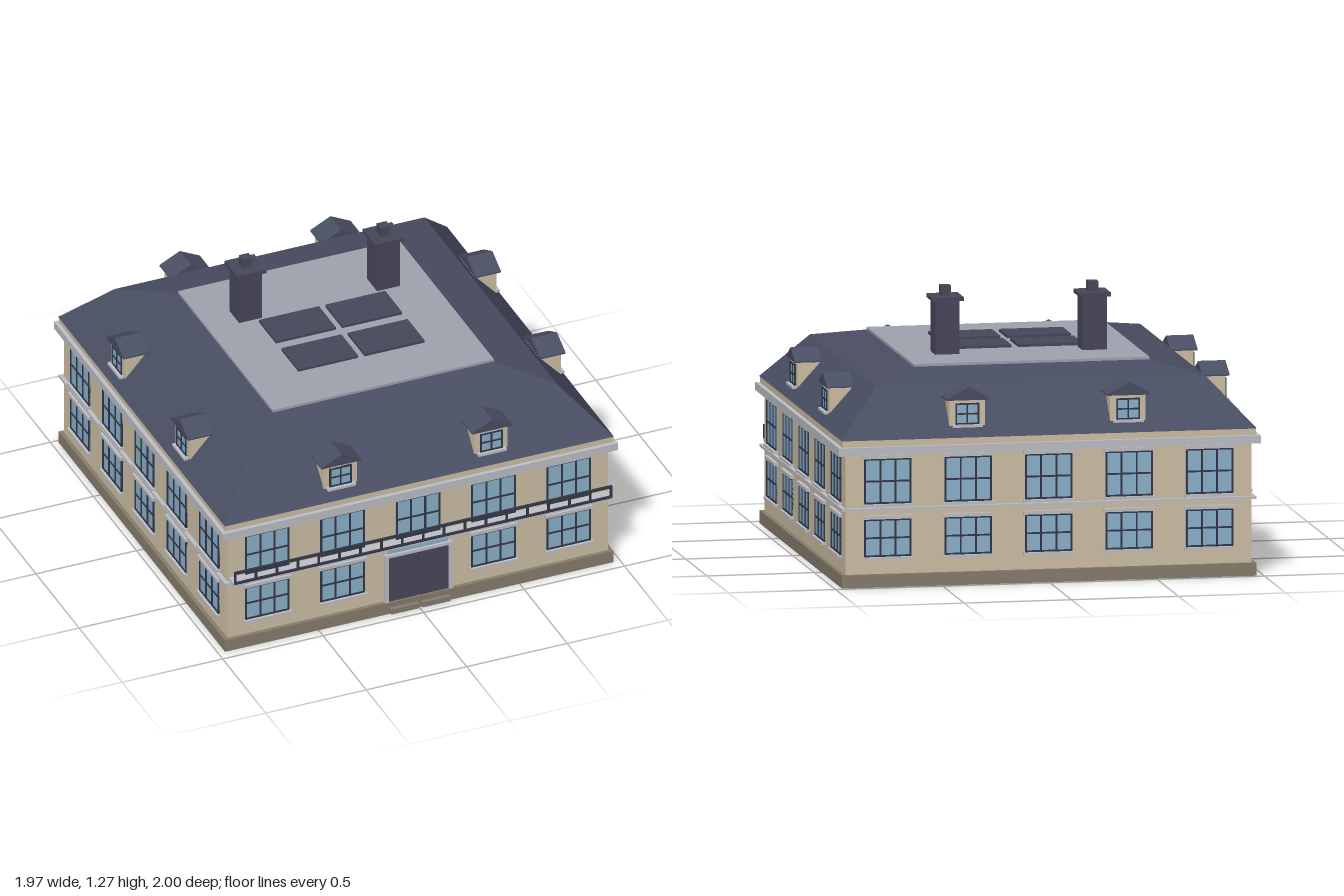
import * as THREE from 'three';

const paint = (name, color) => {
  const m = new THREE.MeshStandardMaterial({ color });
  m.name = name;
  return m;
};

const CZ = -0.017; // the house sits slightly back to leave room for the balcony
const WALL = 0.947; // half width of the walls

export function createModel() {
  const stone = paint('cream stone', 0xcfc1a6);
  const plinthStone = paint('plinth stone', 0x877e6d);
  const trim = paint('pale trim', 0xbfc1c8);
  const slate = paint('roof slate', 0x4a4e63);
  const lead = paint('flat roof lead', 0xa0a3af);
  const glass = paint('window glass', 0x8db3cd);
  const iron = paint('dark frame', 0x343848);
  const masonry = paint('chimney and door', 0x48485c);

  const model = new THREE.Group();
  model.name = 'mansion';
  const house = new THREE.Group();
  house.name = 'house';
  house.position.z = CZ;
  model.add(house);

  const add = (parent, name, geo, mat) => {
    const mesh = new THREE.Mesh(geo, mat);
    mesh.name = name;
    parent.add(mesh);
    return mesh;
  };
  // box given by its limits on each axis
  const box = (parent, name, mat, x0, x1, y0, y1, z0, z1) => {
    const mesh = add(parent, name, new THREE.BoxGeometry(x1 - x0, y1 - y0, z1 - z0), mat);
    mesh.position.set((x0 + x1) / 2, (y0 + y1) / 2, (z0 + z1) / 2);
    return mesh;
  };
  // square block on the axis of the house
  const block = (name, mat, half, y0, y1) => box(house, name, mat, -half, half, y0, y1, -half, half);
  // square frustum with flat faces
  const frustum = (name, mat, low, high, y0, y1) => {
    let geo = new THREE.CylinderGeometry(high * Math.SQRT2, low * Math.SQRT2, y1 - y0, 4, 1, false, Math.PI / 4);
    geo = geo.toNonIndexed();
    geo.computeVertexNormals();
    add(house, name, geo, mat).position.y = (y0 + y1) / 2;
  };

  // main body
  block('plinth', plinthStone, 0.966, 0, 0.06);
  block('walls', stone, WALL, 0.06, 0.615);
  block('stringCourse', trim, 0.966, 0.355, 0.368);
  block('cornice', trim, 0.983, 0.615, 0.652);
  block('eavesBand', stone, 0.964, 0.652, 0.682);
  frustum('lowerRoof', slate, 0.968, 0.77, 0.682, 0.9);
  frustum('upperRoof', slate, 0.77, 0.55, 0.9, 0.95);
  block('flatRoof', lead, 0.55, 0.945, 0.962);

  // glazed opening with border bars, given columns and two rows
  const glazing = (parent, x, y0, y1, half, z, columns, bar) => {
    const g = new THREE.Group();
    g.name = 'window';
    g.position.x = x;
    parent.add(g);
    box(g, 'pane', glass, -half, half, y0, y1, z - 0.01, z + 0.004);
    for (let i = 0; i <= columns; i++) {
      const c = (half - bar / 2) * (2 * i / columns - 1);
      box(g, 'verticalBar', iron, c - bar / 2, c + bar / 2, y0, y1, z - 0.01, z + 0.009);
    }
    for (let i = 0; i <= 2; i++) {
      const c = y0 + bar / 2 + (y1 - y0 - bar) * i / 2;
      box(g, 'horizontalBar', iron, -half, half, c - bar / 2, c + bar / 2, z - 0.01, z + 0.008);
    }
    return g;
  };

  // wall window with lintel and sill
  const wallWindow = (parent, x, y0, y1) => {
    const g = glazing(parent, x, y0, y1, 0.11, WALL, 3, 0.008);
    box(g, 'lintel', trim, -0.118, 0.118, y1, y1 + 0.016, WALL - 0.01, WALL + 0.016);
    box(g, 'sill', trim, -0.118, 0.118, y0 - 0.012, y0, WALL - 0.01, WALL + 0.02);
  };

  // dormer with a gabled slate roof
  const gable = new THREE.Shape([
    new THREE.Vector2(-0.1, 0.85), new THREE.Vector2(0.1, 0.85),
    new THREE.Vector2(0.1, 0.857), new THREE.Vector2(0, 0.907), new THREE.Vector2(-0.1, 0.857),
  ]);
  const dormer = (parent, x) => {
    const g = new THREE.Group();
    g.name = 'dormer';
    g.position.x = x;
    parent.add(g);
    box(g, 'dormerBody', stone, -0.083, 0.083, 0.722, 0.855, 0.79, 0.924);
    const roof = new THREE.ExtrudeGeometry(gable, { depth: 0.127, bevelEnabled: false });
    add(g, 'dormerRoof', roof, slate).position.z = 0.812;
    glazing(g, 0, 0.737, 0.835, 0.055, 0.924, 2, 0.007);
    box(g, 'dormerSill', trim, -0.07, 0.07, 0.725, 0.737, 0.91, 0.946);
  };

  // four matching sides; only the front has the door
  for (let k = 0; k < 4; k++) {
    const side = new THREE.Group();
    side.name = ['frontSide', 'leftSide', 'backSide', 'rightSide'][k];
    side.rotation.y = k * Math.PI / 2;
    house.add(side);
    for (let i = -2; i <= 2; i++) {
      wallWindow(side, i * 0.375, 0.385, 0.595);
      if (k !== 0 || i !== 0) wallWindow(side, i * 0.375, 0.14, 0.315);
    }
    for (const s of [-1, 1]) dormer(side, s * 0.375);
  }

  // entrance
  const entrance = new THREE.Group();
  entrance.name = 'entrance';
  house.add(entrance);
  for (const s of [-1, 1]) {
    const limits = (a, b) => (s > 0 ? [a, b] : [-b, -a]);
    box(entrance, 'doorLeaf', masonry, ...limits(0.002, 0.15), 0.06, 0.3, 0.93, 0.957);
    box(entrance, 'doorJamb', trim, ...limits(0.15, 0.167), 0.06, 0.315, 0.93, 0.966);
    box(entrance, 'step', plinthStone, ...limits(0.01, 0.147), 0.008, 0.034, 0.94, 0.987);
  }
  box(entrance, 'doorHead', trim, -0.167, 0.167, 0.3, 0.315, 0.93, 0.966);
  box(entrance, 'transomPane', glass, -0.15, 0.15, 0.315, 0.352, 0.93, 0.953);

  // balcony deck and railing along the front
  const balcony = new THREE.Group();
  balcony.name = 'balcony';
  model.add(balcony);
  box(balcony, 'deck', trim, -0.94, 0.94, 0.372, 0.385, 0.92, 0.992);
  box(balcony, 'bottomRail', iron, -0.94, 0.94, 0.385, 0.395, 0.99, 1);
  box(balcony, 'topRail', iron, -0.94, 0.94, 0.439, 0.451, 0.99, 1);
  for (let i = -9; i <= 9; i++) {
    const x = i * 0.1039;
    box(balcony, 'baluster', iron, x - 0.005, x + 0.005, 0.39, 0.445, 0.99, 1);
  }

  // chimneys and roof panels
  for (const s of [-1, 1]) {
    const chimney = new THREE.Group();
    chimney.name = 'chimney';
    chimney.position.set(s * 0.343, 0, -0.265);
    model.add(chimney);
    box(chimney, 'stack', masonry, -0.057, 0.057, 0.95, 1.212, -0.057, 0.057);
    box(chimney, 'cap', masonry, -0.073, 0.073, 1.21, 1.228, -0.073, 0.073);
    box(chimney, 'pot', masonry, -0.024, 0.024, 1.225, 1.275, -0.024, 0.024);
    for (const z of [-0.08, 0.18]) {
      const x = s * 0.165;
      box(model, 'roofPanel', masonry, x - 0.149, x + 0.149, 0.955, 0.975, z - 0.098, z + 0.098);
    }
  }
  return model;
}
